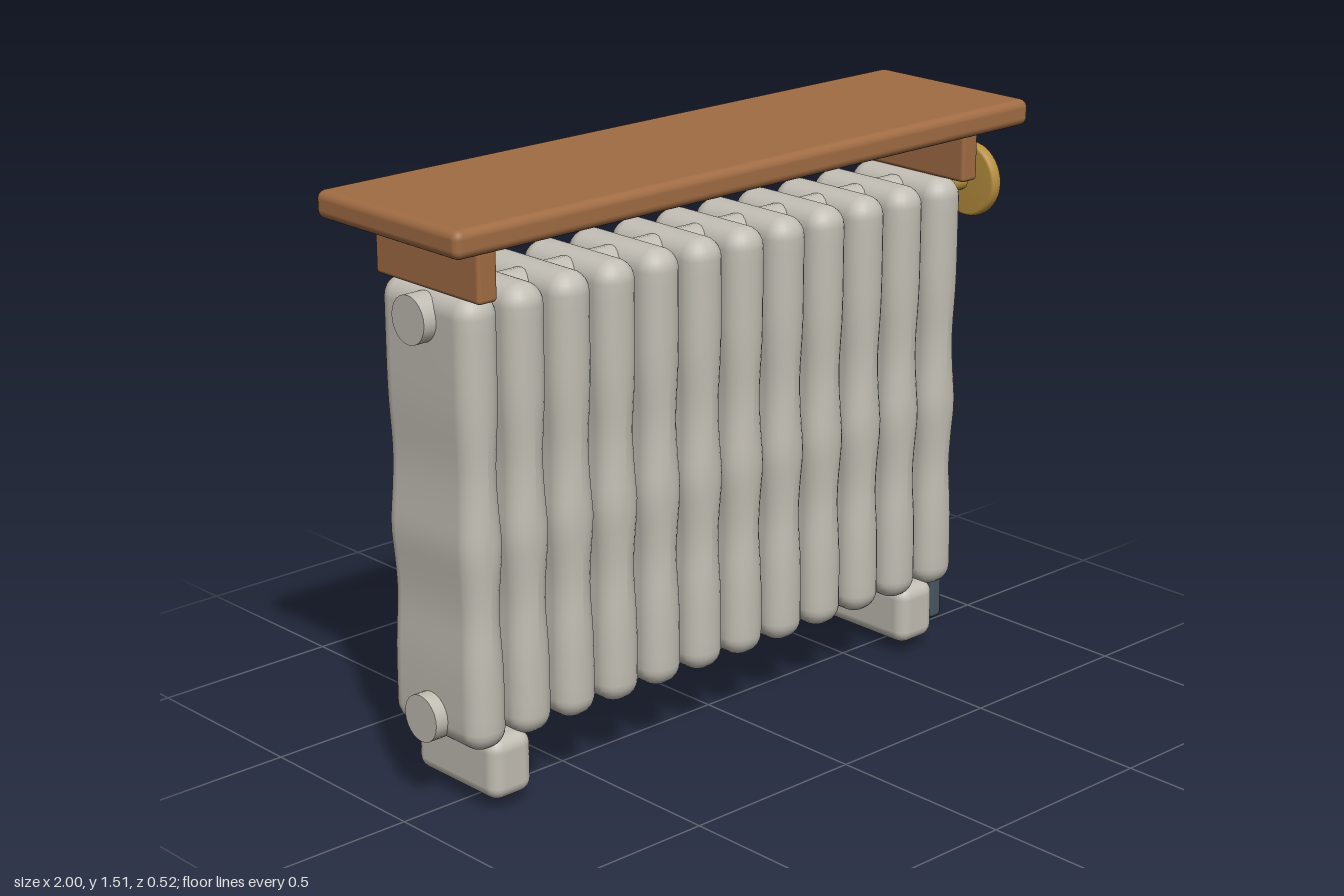
import * as THREE from 'three';
import { RoundedBoxGeometry } from 'three/addons/geometries/RoundedBoxGeometry.js';

const MID_Z = -0.02;

function material(name, color) {
  const m = new THREE.MeshStandardMaterial({ color });
  m.name = name;
  return m;
}

// Tall rounded column: horizontal rounded-rectangle rings stacked along y
function columnGeometry(width, depth, y0, y1, radius) {
  const rings = [];
  const arc = 6, body = 28, corner = 6;
  for (let i = 0; i <= arc; i++) {
    const a = (i / arc) * Math.PI / 2;
    rings.push([y0 + radius * (1 - Math.sin(a)), radius * (1 - Math.cos(a))]);
  }
  rings.reverse();
  rings.forEach((r, i) => {
    const a = (i / arc) * Math.PI / 2;
    r[0] = y0 + radius * (1 - Math.cos(a));
    r[1] = radius * (1 - Math.sin(a));
  });
  const lower = rings.slice();
  for (let i = 1; i < body; i++) rings.push([y0 + radius + (y1 - y0 - 2 * radius) * i / body, 0]);
  lower.reverse().forEach(([y, inset]) => rings.push([y0 + y1 - y, inset]));

  // Slight waists above and below a raised middle band
  const bump = (y, c, s) => Math.exp(-(((y - c) / s) ** 2));
  const swell = y => 0.003 * bump(y, 0.69, 0.05) - 0.007 * (bump(y, 0.87, 0.11) + bump(y, 0.52, 0.1));

  const pos = [], index = [], n = 4 * (corner + 1);
  for (const [y, inset] of rings) {
    const r = Math.max(radius - inset, 0.001), s = swell(y);
    const cx = width / 2 - radius + s, cz = depth / 2 - radius + s * 0.5;
    for (let q = 0; q < 4; q++) {
      const sx = q === 0 || q === 3 ? 1 : -1, sz = q < 2 ? 1 : -1;
      for (let k = 0; k <= corner; k++) {
        const a = (q + k / corner) * Math.PI / 2;
        pos.push(sx * cx + r * Math.cos(a), y, sz * cz + r * Math.sin(a));
      }
    }
  }
  for (let i = 0; i < rings.length - 1; i++) {
    for (let j = 0; j < n; j++) {
      const a = i * n + j, b = i * n + (j + 1) % n;
      index.push(a, a + n, b, b, a + n, b + n);
    }
  }
  // End caps
  const bottom = pos.length / 3, last = (rings.length - 1) * n;
  pos.push(0, y0, 0, 0, y1, 0);
  for (let j = 0; j < n; j++) {
    const k = (j + 1) % n;
    index.push(bottom, j, k, bottom + 1, last + k, last + j);
  }
  const g = new THREE.BufferGeometry();
  g.setAttribute('position', new THREE.Float32BufferAttribute(pos, 3));
  g.setIndex(index);
  g.computeVertexNormals();
  return g;
}

export function createModel() {
  const group = new THREE.Group();
  group.name = 'radiator';
  const iron = material('paleIron', 0xc2beb4);
  const wood = material('wood', 0xa06c44);
  const brass = material('brass', 0xb8903f);
  const steel = material('darkSteel', 0x465762);

  const add = (name, geometry, mat, x, y, z) => {
    const mesh = new THREE.Mesh(geometry, mat);
    mesh.name = name;
    mesh.position.set(x, y, z);
    group.add(mesh);
    return mesh;
  };
  const box = (name, mat, x0, x1, y0, y1, z0, z1, r) =>
    add(name, new RoundedBoxGeometry(x1 - x0, y1 - y0, z1 - z0, 3, r), mat,
      (x0 + x1) / 2, (y0 + y1) / 2, (z0 + z1) / 2);
  const rod = (name, mat, x0, x1, y, r, sides = 24) => {
    const g = new THREE.CylinderGeometry(r, r, x1 - x0, sides).rotateZ(-Math.PI / 2);
    return add(name, g, mat, (x0 + x1) / 2, y, MID_Z);
  };

  // Twelve radiator columns
  const column = columnGeometry(0.116, 0.335, 0.175, 1.305, 0.052);
  for (let i = 0; i < 12; i++) add('column' + (i + 1), column, iron, -0.832 + i * 0.1418, 0, MID_Z);

  // Header pipes
  rod('topPipe', iron, -0.925, 0.82, 1.235, 0.06);
  rod('bottomPipe', iron, -0.925, 0.82, 0.24, 0.06);

  // Feet
  for (const [name, x] of [['rightFoot', -0.762], ['leftFoot', 0.656]]) {
    box(name, iron, x - 0.064, x + 0.064, 0.03, 0.192, -0.175, 0.132, 0.035);
  }

  // Shelf and its brackets
  box('shelf', wood, -1, 0.892, 1.443, 1.512, -0.26, 0.26, 0.022);
  box('rightBracket', wood, -0.885, -0.828, 1.305, 1.46, -0.188, 0.19, 0.01);
  box('leftBracket', wood, 0.72, 0.775, 1.305, 1.46, -0.188, 0.19, 0.01);

  // Valve with round handwheel
  rod('valveStem', brass, 0.815, 0.945, 1.235, 0.025, 16);
  rod('valveSpindle', brass, 0.94, 0.97, 1.235, 0.008, 12);
  const rim = [[0, -0.018], [0.092, -0.018], [0.099, -0.014], [0.102, -0.006],
    [0.102, 0.006], [0.099, 0.014], [0.092, 0.018], [0, 0.018]];
  const wheel = new THREE.LatheGeometry(rim.map(p => new THREE.Vector2(...p)), 40).rotateZ(-Math.PI / 2);
  add('handwheel', wheel, brass, 0.979, 1.235, MID_Z);

  // Bleed key beside the lower pipe
  box('bleedKey', steel, 0.849, 0.891, 0, 0.216, -0.044, -0.001, 0.012);

  return group;
}
